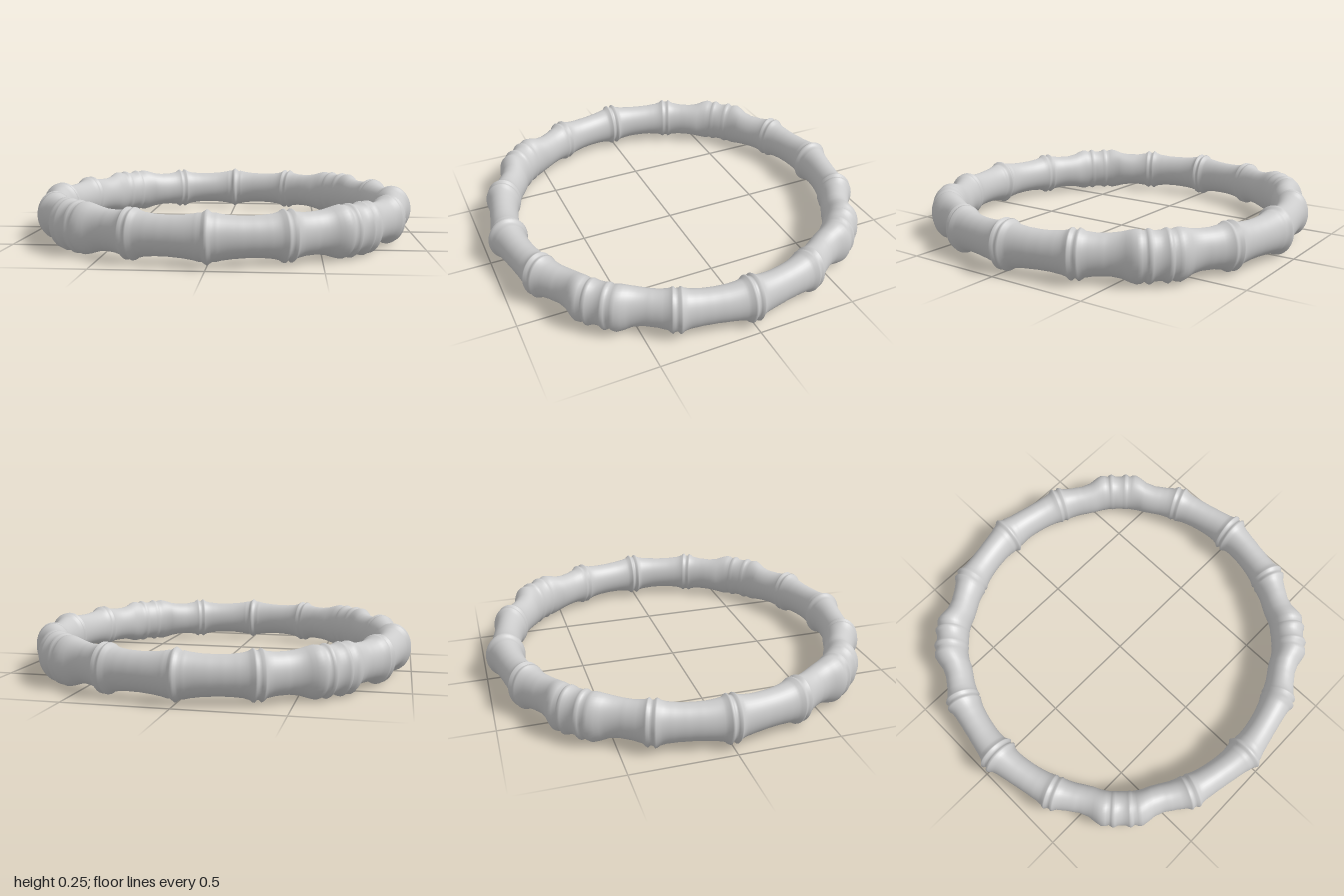
import * as THREE from 'three';

// Half of one repeating quarter: [degrees, half height, half width, ring radius]
const PROFILE = [
  // paired lips of the joint on an axis
  [0, 0.111, 0.088, 0.894], [0.5, 0.112, 0.089, 0.894], [1.0, 0.122, 0.1, 0.895],
  [1.5, 0.118, 0.095, 0.894], [2.3, 0.107, 0.084, 0.892],
  // short cane
  [4, 0.101, 0.078, 0.89], [7, 0.095, 0.074, 0.888], [11, 0.092, 0.072, 0.886],
  [15, 0.093, 0.073, 0.887], [18.5, 0.099, 0.077, 0.89],
  // paired lips of the middle joint
  [20.2, 0.107, 0.082, 0.893], [21, 0.117, 0.088, 0.897], [21.5, 0.119, 0.09, 0.897],
  [22.1, 0.108, 0.083, 0.895], [22.9, 0.108, 0.083, 0.895], [23.5, 0.119, 0.089, 0.896],
  [24, 0.115, 0.086, 0.895], [25, 0.104, 0.079, 0.89],
  // flared cane
  [28, 0.097, 0.073, 0.885], [32, 0.097, 0.071, 0.881], [35, 0.104, 0.075, 0.887],
  [37.5, 0.117, 0.083, 0.903], [39, 0.123, 0.088, 0.911], [40.2, 0.12, 0.087, 0.911],
  // ribbed diagonal joint
  [41.2, 0.113, 0.083, 0.908], [41.8, 0.12, 0.087, 0.911], [42.4, 0.125, 0.09, 0.913],
  [43, 0.122, 0.088, 0.912], [43.8, 0.114, 0.084, 0.908], [45, 0.113, 0.084, 0.907],
];

// Fill the wide gaps so the canes bend smoothly
function refine(rows) {
  const out = [];
  for (let i = 0; i < rows.length - 1; i++) {
    const a = rows[i], b = rows[i + 1];
    const n = Math.ceil((b[0] - a[0]) / 1.5);
    for (let k = 0; k < n; k++) out.push(a.map((v, j) => THREE.MathUtils.lerp(v, b[j], k / n)));
  }
  out.push(rows[rows.length - 1]);
  return out;
}

// Joints on the z axis have one sharp ridge instead of paired lips
function singleRidge(rows) {
  return rows.map((r) => {
    if (r[0] >= 2.3) return r;
    const t = Math.max(0, 1 - r[0] / 1.5);
    return [r[0], 0.106 + 0.016 * t, 0.084 + 0.016 * t, 0.894];
  });
}

// All stations round the ring, in order of angle
function ringStations() {
  const rows = refine(PROFILE);
  const ridged = singleRidge(rows);
  const stations = [];
  for (let octant = 0; octant < 8; octant++) {
    const forward = octant % 2 === 0;
    const onZ = octant % 4 === 1 || octant % 4 === 2;
    const set = onZ ? ridged : rows;
    const ordered = forward ? set : [...set].reverse();
    ordered.slice(0, -1).forEach(([deg, h, w, c]) => {
      const angle = octant * 45 + (forward ? deg : 45 - deg);
      stations.push([THREE.MathUtils.degToRad(angle), h, w, c]);
    });
  }
  return stations;
}

// Closed loft of elliptical sections
function loftRing(stations, sides, centreY) {
  const positions = [], index = [];
  const n = stations.length;
  stations.forEach(([angle, h, w, c], i) => {
    const next = (i + 1) % n;
    for (let j = 0; j < sides; j++) {
      const phi = (j / sides) * Math.PI * 2;
      const r = c + w * Math.cos(phi);
      positions.push(r * Math.cos(angle), centreY + h * Math.sin(phi), r * Math.sin(angle));
      const k = (j + 1) % sides;
      const a = i * sides + j, b = i * sides + k;
      const d = next * sides + j, e = next * sides + k;
      index.push(a, b, d, b, e, d);
    }
  });
  const geometry = new THREE.BufferGeometry();
  geometry.setAttribute('position', new THREE.Float32BufferAttribute(positions, 3));
  geometry.setIndex(index);
  geometry.computeVertexNormals();
  return geometry;
}

export function createModel() {
  const group = new THREE.Group();
  group.name = 'bambooBangle';
  const material = new THREE.MeshStandardMaterial({ color: 0xcccccc });
  const ring = new THREE.Mesh(loftRing(ringStations(), 40, 0.127), material);
  ring.name = 'bambooRing';
  group.add(ring);
  return group;
}
